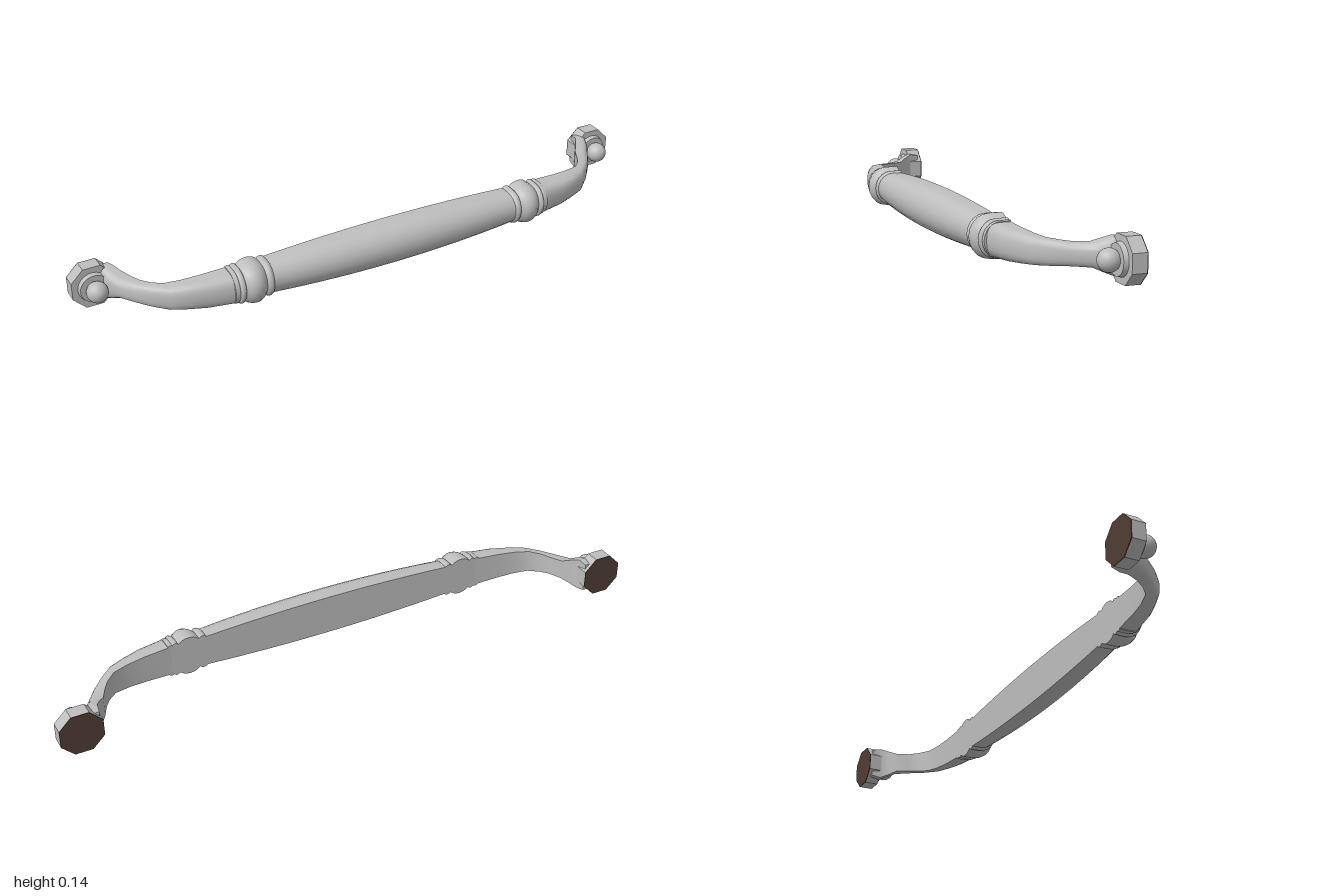
import * as THREE from 'three';
import { toCreasedNormals } from 'three/addons/utils/BufferGeometryUtils.js';

const AXIS = 0.068; // height of the handle's centre line
const BACK = 0.055; // flat back plane of the grip

// Loft of D-shaped sections [innerX, innerZ, outerX, outerZ, halfHeight], running towards +x.
function loft(sections, side = 0.38, power = 1, steps = 10) {
  const pos = [], idx = [];
  const n = steps + 3;
  for (const [ix, iz, ox, oz, h] of sections) {
    const put = (t, y) => pos.push(ix + (ox - ix) * t, AXIS + y * h, iz + (oz - iz) * t);
    put(0, -1);
    for (let k = 0; k <= steps; k++) {
      const a = (Math.PI * k) / steps;
      const c = Math.cos(a);
      put(side + (1 - side) * Math.sin(a) ** power, -Math.sign(c) * Math.abs(c) ** power);
    }
    put(0, 1);
  }
  for (let i = 0; i < sections.length - 1; i++) {
    for (let j = 0; j < n; j++) {
      const a = i * n + j, b = i * n + ((j + 1) % n);
      idx.push(a, a + n, b, b, a + n, b + n);
    }
  }
  const last = (sections.length - 1) * n;
  for (let j = 1; j < n - 1; j++) {
    idx.push(0, j, j + 1, last, last + j + 1, last + j);
  }
  const g = new THREE.BufferGeometry();
  g.setAttribute('position', new THREE.Float32BufferAttribute(pos, 3));
  g.setIndex(idx);
  return toCreasedNormals(g, 0.7);
}

const straight = (x, front, h) => [x, BACK, x, front, h];
const mirrored = (s) => s.map(([a, b, c, d, h]) => [-a, b, -c, d, h]).reverse();

export function createModel() {
  const metal = new THREE.MeshStandardMaterial({ color: 0xbebebe });
  metal.name = 'satin metal';
  const brown = new THREE.MeshStandardMaterial({ color: 0x503d34 });
  brown.name = 'brown base';

  const model = new THREE.Group();
  model.name = 'drawerHandle';
  const add = (parent, name, geometry, material = metal) => {
    const mesh = new THREE.Mesh(geometry, material);
    mesh.name = name;
    parent.add(mesh);
    return mesh;
  };

  // Grip, swelling towards the middle
  const grip = [];
  for (let i = 0; i <= 12; i++) {
    const u = i / 6 - 1;
    grip.push(straight(u * 0.45, 0.16 - 0.02 * u * u, 0.068 - 0.015 * u * u));
  }
  add(model, 'grip', loft(grip));

  // Beads: start, end, groove half height, peak half height, peak front
  const beads = [
    [0.44, 0.465, 0.054, 0.06, 0.147],
    [0.465, 0.535, 0.054, 0.068, 0.157],
    [0.535, 0.555, 0.054, 0.06, 0.147],
    [0.555, 0.57, 0.055, 0.057, 0.14],
  ];

  // Curved arm, narrowing to a waist and flaring into the foot
  const arm = [
    [0.56, 0.055, 0.56, 0.132, 0.052],
    [0.65, 0.05, 0.65, 0.118, 0.047],
    [0.71, 0.042, 0.705, 0.1, 0.043],
    [0.76, 0.028, 0.755, 0.08, 0.039],
    [0.79, 0, 0.805, 0.035, 0.036],
    [0.81, -0.03, 0.845, -0.01, 0.033],
    [0.83, -0.07, 0.88, -0.06, 0.034],
    [0.85, -0.095, 0.9, -0.09, 0.046],
    [0.865, -0.12, 0.91, -0.115, 0.056],
    [0.87, -0.15, 0.91, -0.15, 0.05],
  ];

  for (const [name, s] of [['left', 1], ['right', -1]]) {
    const end = new THREE.Group();
    end.name = name + 'End';
    model.add(end);
    const orient = (sections) => (s > 0 ? sections : mirrored(sections));

    beads.forEach(([x0, x1, low, high, front], i) => {
      const sections = [];
      for (let k = 0; k <= 6; k++) {
        const bulge = Math.sin((Math.PI * k) / 6) ** 0.7;
        sections.push(straight(x0 + ((x1 - x0) * k) / 6,
          0.138 + (front - 0.138) * bulge, low + (high - low) * bulge));
      }
      add(end, name + 'Bead' + (i + 1), loft(orient(sections)));
    });

    add(end, name + 'Arm', loft(orient(arm), 0.45, 0.75));

    // Eight-sided foot with a stepped disc, a round knob and a brown underside
    const x = s * 0.932;
    const octagon = (depth) => {
      const g = new THREE.CylinderGeometry(0.0736, 0.0736, depth, 8);
      g.rotateY(Math.PI / 8);
      g.rotateX(Math.PI / 2);
      return toCreasedNormals(g, 0.5);
    };
    add(end, name + 'Foot', octagon(0.045)).position.set(x, AXIS, -0.138);
    add(end, name + 'FootBase', octagon(0.003), brown).position.set(x, AXIS, -0.1615);

    const step = new THREE.CylinderGeometry(0.046, 0.05, 0.015, 24).rotateX(Math.PI / 2);
    add(end, name + 'FootStep', step).position.set(x, AXIS, -0.109);

    const knob = new THREE.SphereGeometry(0.034, 20, 14);
    add(end, name + 'Knob', knob).position.set(x, AXIS, -0.08);
  }
  return model;
}
